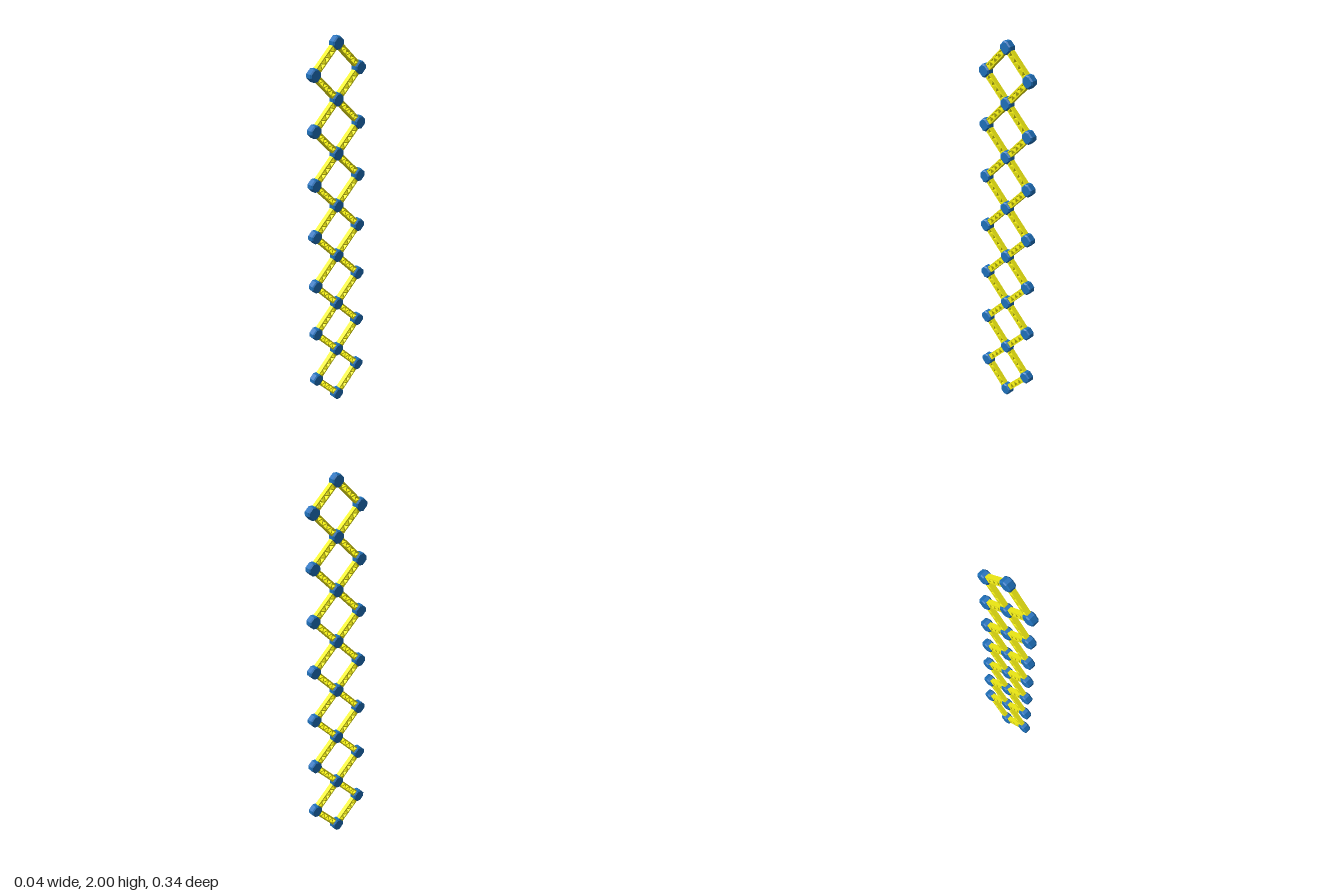
import * as THREE from 'three';

const STEP = 0.1382;   // half the height and half the width of one diamond
const BASE = 0.0325;   // height of the lowest hub centre
const CELLS = 7;

// Diamond prism with clipped corners and chamfered ends, axis along x
function hubGeometry() {
  const bevel = 0.006, a = 0.0325 - bevel, b = 0.0075;
  const shape = new THREE.Shape(
    [[b, a], [-b, a], [-a, b], [-a, -b], [-b, -a], [b, -a], [a, -b], [a, b]]
      .map(([x, y]) => new THREE.Vector2(x, y)));
  const depth = 0.042 - 2 * bevel;
  const g = new THREE.ExtrudeGeometry(shape, {
    depth, bevelEnabled: true, bevelSize: bevel, bevelThickness: bevel, bevelSegments: 1,
  });
  return g.translate(0, 0, -depth / 2).rotateY(Math.PI / 2);
}

// Lattice strut: two rails joined by a zigzag, length along z, width along x
function strutGeometry() {
  const half = 0.0715, w = 0.0165, rail = 0.0105, depth = 0.025;
  const shape = new THREE.Shape([
    new THREE.Vector2(-half, -w), new THREE.Vector2(half, -w),
    new THREE.Vector2(half, w), new THREE.Vector2(-half, w)]);
  const pitch = 0.0185, h = 0.0125;
  for (let i = -3; i <= 3; i++) {
    const s = i % 2 ? -1 : 1, c = i * pitch;
    shape.holes.push(new THREE.Path([
      new THREE.Vector2(c - h, -s * rail),
      new THREE.Vector2(c, s * rail),
      new THREE.Vector2(c + h, -s * rail)]));
  }
  const g = new THREE.ExtrudeGeometry(shape, { depth, bevelEnabled: false });
  return g.translate(0, 0, -depth / 2).rotateY(Math.PI / 2);
}

export function createModel() {
  const model = new THREE.Group();
  model.name = 'scissorLattice';
  const blue = new THREE.MeshStandardMaterial({ color: 0x1f72bd, flatShading: true });
  const yellow = new THREE.MeshStandardMaterial({ color: 0xf5f014, flatShading: true });
  const hubGeo = hubGeometry(), strutGeo = strutGeometry();

  const add = (name, geo, mat, y, z, tilt = 0) => {
    const mesh = new THREE.Mesh(geo, mat);
    mesh.name = name;
    mesh.position.set(0, y, z);
    mesh.rotation.x = tilt;
    model.add(mesh);
  };

  // Hubs on the centre line
  for (let i = 0; i <= CELLS; i++) add('centreHub', hubGeo, blue, BASE + 2 * STEP * i, 0);

  // Each diamond: two outer hubs and four struts
  for (let i = 0; i < CELLS; i++) {
    const mid = BASE + STEP * (2 * i + 1);
    for (const side of [-1, 1]) {
      add('outerHub', hubGeo, blue, mid, side * STEP);
      for (const up of [-1, 1]) {
        add('strut', strutGeo, yellow, mid + up * STEP / 2, side * STEP / 2, side * up * Math.PI / 4);
      }
    }
  }
  return model;
}
